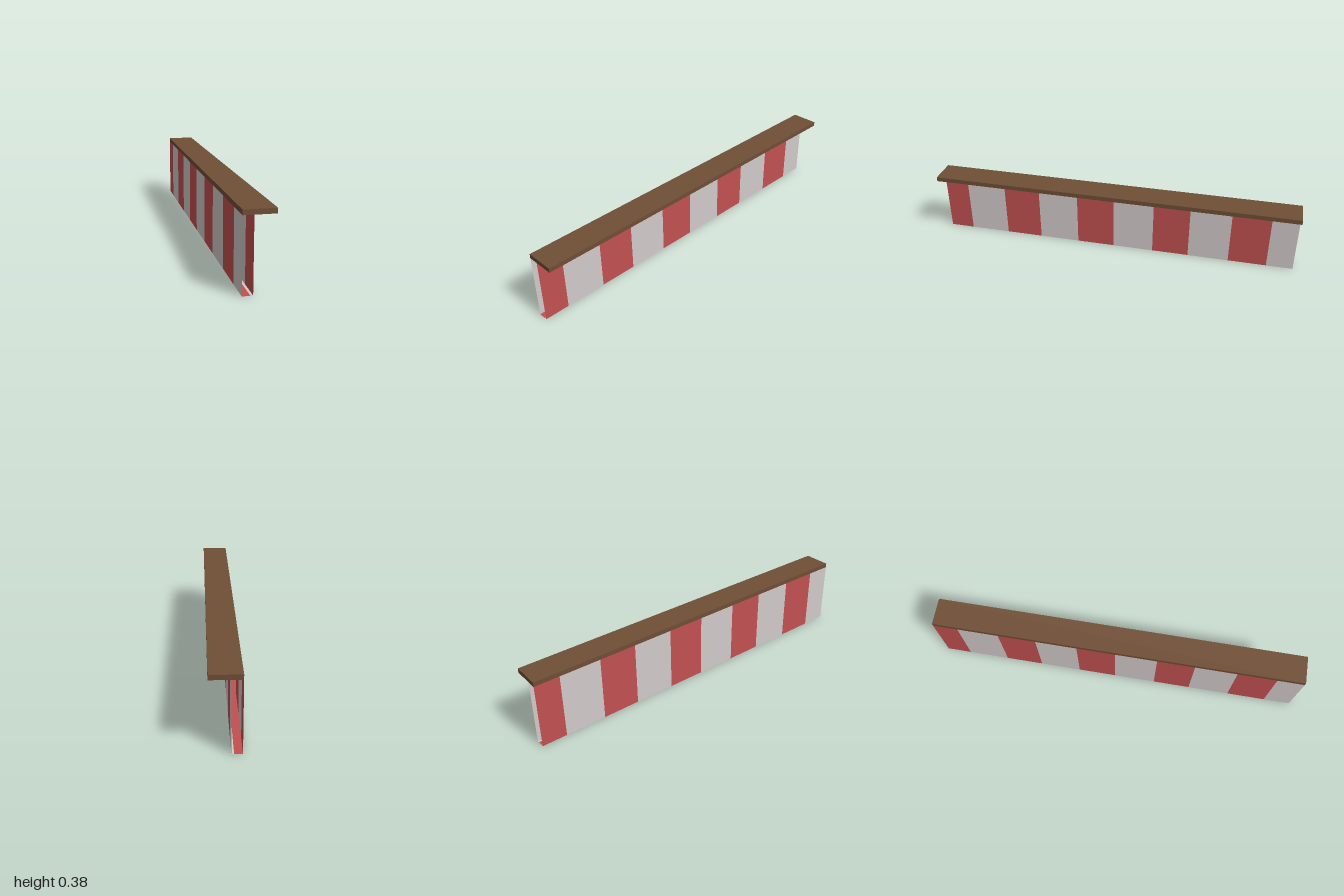
import * as THREE from 'three';

export function createModel() {
  const model = new THREE.Group();
  model.name = 'stripedValance';

  const wood = new THREE.MeshStandardMaterial({ name: 'brown wood', color: 0x704e36 });
  const red = new THREE.MeshStandardMaterial({ name: 'red cloth', color: 0xc25050, side: THREE.DoubleSide });
  const white = new THREE.MeshStandardMaterial({ name: 'pale cloth', color: 0xd2caca, side: THREE.DoubleSide });

  const add = (parent, geometry, material, name) => {
    const mesh = new THREE.Mesh(geometry, material);
    mesh.name = name;
    parent.add(mesh);
    return mesh;
  };

  // Plank on top, overhanging to one side
  const plankBottom = 0.351, plankTop = 0.375;
  add(model, new THREE.BoxGeometry(0.15, plankTop - plankBottom, 2), wood, 'topPlank')
    .position.y = (plankTop + plankBottom) / 2;

  // Striped cloth panels: thin sheets, the second is the first turned half way round
  const edges = [1, 0.866, 0.643, 0.438, 0.214, 0.005, -0.221, -0.423, -0.648, -0.857, -1];
  const makePanel = (name, x, turn) => {
    const panel = new THREE.Group();
    panel.name = name;
    for (let i = 0; i < edges.length - 1; i++) {
      const stripe = add(panel, new THREE.PlaneGeometry(edges[i] - edges[i + 1], plankBottom),
        i % 2 ? white : red, i % 2 ? 'paleStripe' : 'redStripe');
      stripe.rotation.y = Math.PI / 2;
      stripe.position.set(0, plankBottom / 2, (edges[i] + edges[i + 1]) / 2);
    }
    panel.position.x = x;
    panel.rotation.y = turn;
    model.add(panel);
  };
  makePanel('innerPanel', -0.025, 0);
  makePanel('outerPanel', -0.075, Math.PI);

  // Bottom strip joining the panels, with a narrow pale edge
  const makeStrip = (x0, x1, material, name) => {
    const strip = add(model, new THREE.PlaneGeometry(x1 - x0, 2), material, name);
    strip.rotation.x = -Math.PI / 2;
    strip.position.x = (x0 + x1) / 2;
  };
  makeStrip(-0.075, -0.037, red, 'bottomStrip');
  makeStrip(-0.037, -0.025, white, 'bottomStripEdge');

  return model;
}
